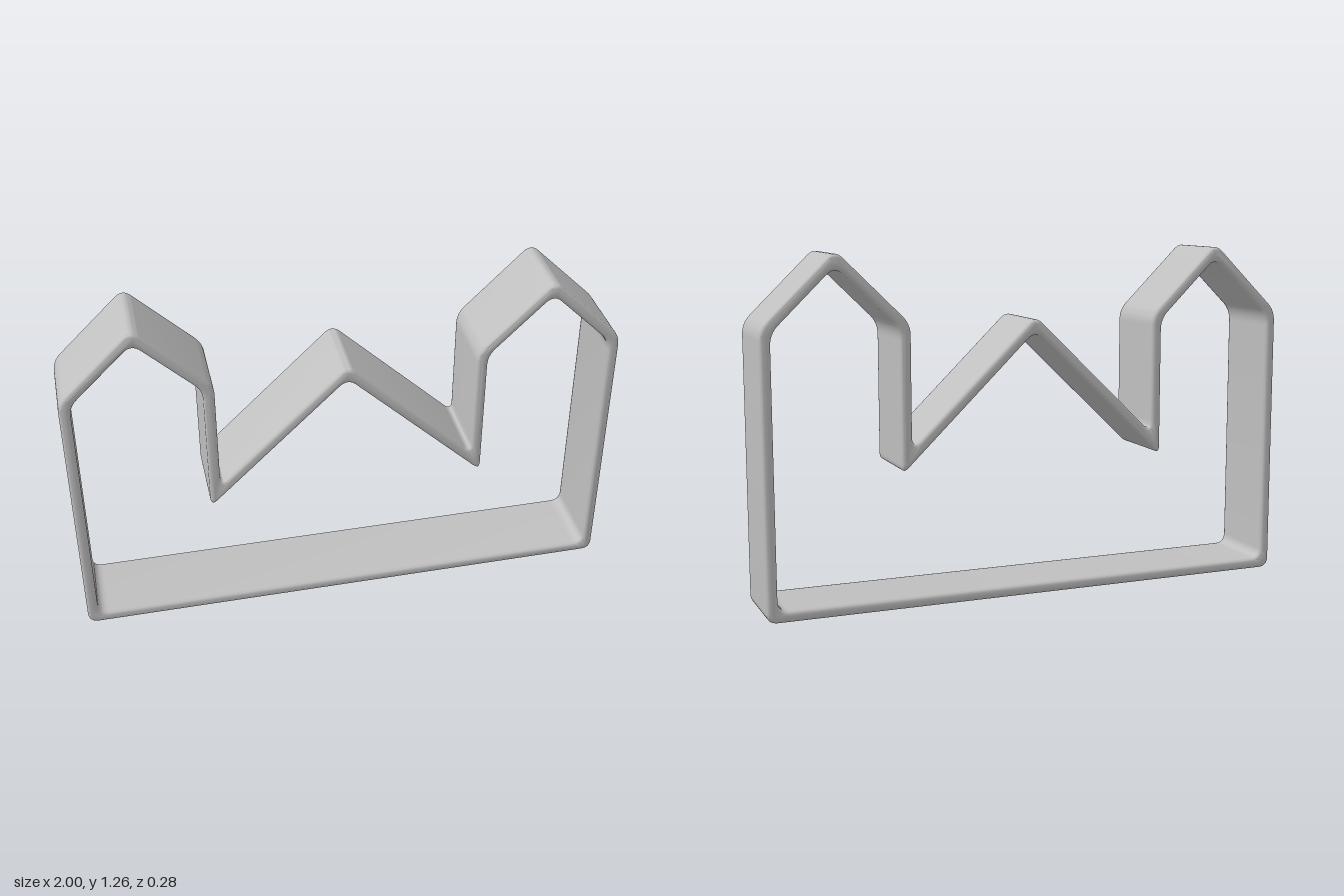
import * as THREE from 'three';
import { toCreasedNormals } from 'three/addons/utils/BufferGeometryUtils.js';

const WALL = 0.04;    // band thickness
const DEPTH = 0.285;  // band width along z
const BEVEL = 0.014;  // rounding of the rims
const ROUND = 0.04;   // corner rounding distance

// Right half of the band's centre line, from the floor up to the middle peak
const half = [[0.979, 0.021], [0.979, 1.006], [0.733, 1.246], [0.488, 1.006], [0.488, 0.53]];
const centreLine = [
  ...half,
  [0, 1.0],
  ...half.map(([x, y]) => [-x, y]).reverse(),
].map(([x, y]) => new THREE.Vector2(x, y));

// Mitred offset of a closed counter-clockwise outline (positive d is outward)
function offsetOutline(points, d) {
  const n = points.length;
  const normal = (a, b) => new THREE.Vector2(b.y - a.y, a.x - b.x).normalize();
  return points.map((p, i) => {
    const n1 = normal(points[(i + n - 1) % n], p);
    const n2 = normal(p, points[(i + 1) % n]);
    const miter = n1.clone().add(n2).multiplyScalar(d / (1 + n1.dot(n2)));
    return miter.add(p);
  });
}

// Trace an outline with rounded corners into a Shape or Path
function roundedOutline(path, points, r) {
  const n = points.length;
  points.forEach((p, i) => {
    const toward = (q) => q.clone().sub(p).setLength(r).add(p);
    const start = toward(points[(i + n - 1) % n]);
    const end = toward(points[(i + 1) % n]);
    if (i === 0) path.moveTo(start.x, start.y);
    else path.lineTo(start.x, start.y);
    path.quadraticCurveTo(p.x, p.y, end.x, end.y);
  });
  path.closePath();
  return path;
}

export function createModel() {
  const group = new THREE.Group();
  group.name = 'castleCutter';

  const grey = new THREE.MeshStandardMaterial({ color: 0xbfbfbf });
  grey.name = 'light grey';

  // Castle-shaped band: outer outline with the inner outline as its hole
  const shape = roundedOutline(new THREE.Shape(), offsetOutline(centreLine, WALL / 2), ROUND);
  shape.holes.push(roundedOutline(new THREE.Path(), offsetOutline(centreLine, -WALL / 2), ROUND));

  const geometry = new THREE.ExtrudeGeometry(shape, {
    depth: DEPTH - 2 * BEVEL,
    curveSegments: 8,
    bevelEnabled: true,
    bevelThickness: BEVEL,
    bevelSize: BEVEL,
    bevelOffset: -BEVEL,
    bevelSegments: 4,
  });
  geometry.translate(0, 0, -DEPTH / 2 + BEVEL);

  const band = new THREE.Mesh(toCreasedNormals(geometry, 0.7), grey);
  band.name = 'castleBand';
  group.add(band);

  return group;
}
